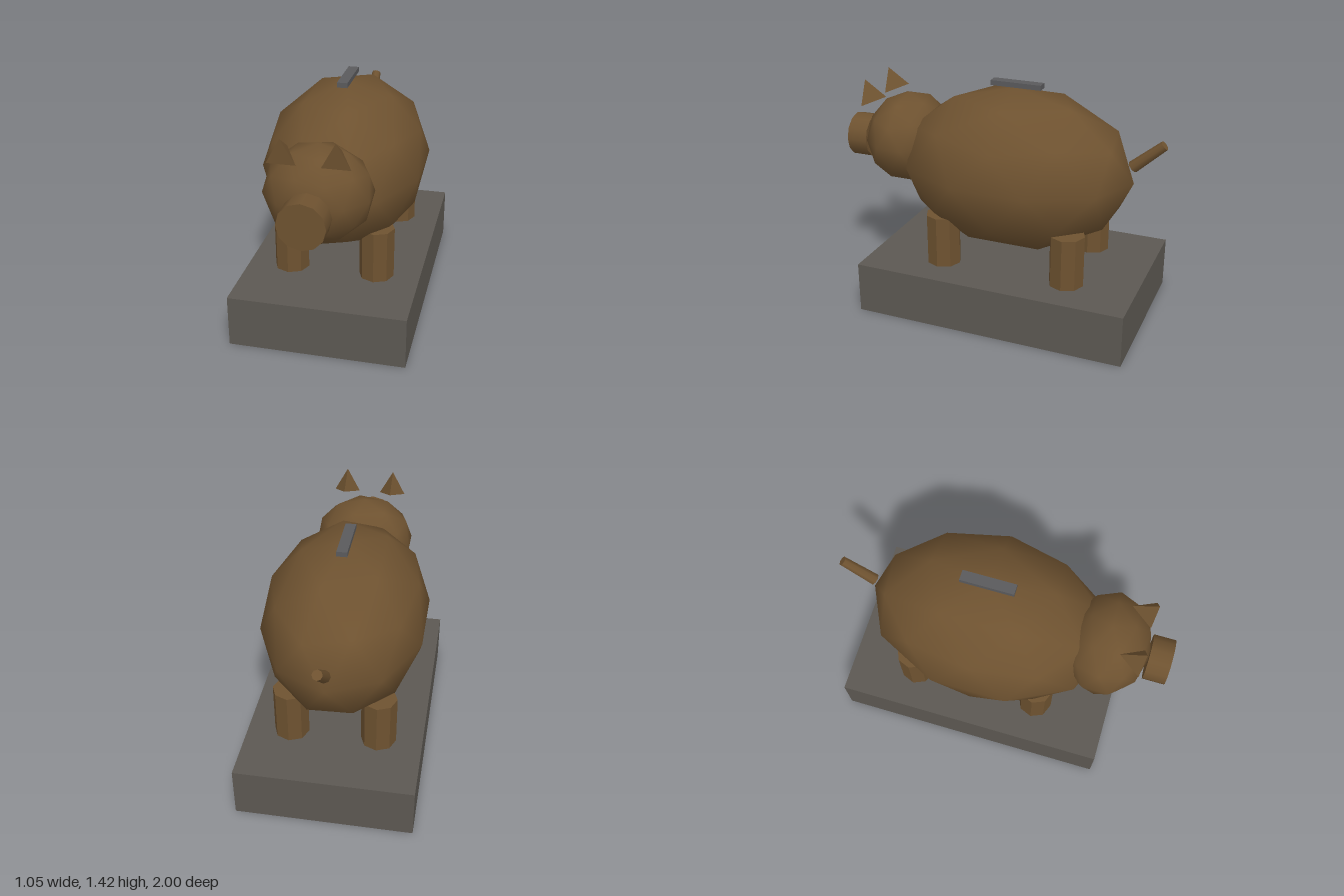
import * as THREE from 'three';
import { ConvexGeometry } from 'three/addons/geometries/ConvexGeometry.js';

export function createModel() {
  const model = new THREE.Group();
  const flat = (name, color, flatShading = false) => {
    const m = new THREE.MeshStandardMaterial({ color, flatShading });
    m.name = name;
    return m;
  };
  const brown = flat('brown', 0x6e5230);
  const stone = flat('warm grey', 0x5c5852);
  const grey = flat('metal grey', 0x5a5a5c);

  const add = (name, geometry, material, x = 0, y = 0, z = 0) => {
    const mesh = new THREE.Mesh(geometry, material);
    mesh.name = name;
    mesh.position.set(x, y, z);
    model.add(mesh);
    return mesh;
  };

  // Smooth 80-sided ball with corners at its top and bottom
  const ball = (rx, ry, rz) => {
    const g = new THREE.IcosahedronGeometry(1, 1);
    g.rotateZ(-Math.atan(2 / (1 + Math.sqrt(5))));
    g.scale(rx, ry, rz);
    return g;
  };

  // Plinth
  add('plinth', new THREE.BoxGeometry(1.046, 0.315, 1.67), stone, 0, 0.1575, -0.09);

  // Body, with the five lowest faces in grey
  const bodyGeo = ball(0.498, 0.495, 0.73);
  const p = bodyGeo.attributes.position;
  for (let i = 0; i < p.count; i += 3) {
    const low = Math.min(p.getY(i), p.getY(i + 1), p.getY(i + 2));
    bodyGeo.addGroup(i, 3, low < -0.49 ? 1 : 0);
  }
  add('body', bodyGeo, [brown, grey], 0, 0.895, -0.085);

  // Head and snout
  add('head', ball(0.312, 0.282, 0.255), brown, 0, 0.997, 0.625);
  const snout = new THREE.CylinderGeometry(0.135, 0.135, 0.13, 12);
  snout.rotateX(Math.PI / 2);
  add('snout', snout, brown, 0, 0.966, 0.935);

  for (const [side, s] of [['left', 1], ['right', -1]]) {
    // Three-sided ears
    const ear = new ConvexGeometry([
      new THREE.Vector3(0, 0.145, 0.01),
      new THREE.Vector3(-0.08, 0, 0),
      new THREE.Vector3(0.08, 0, 0),
      new THREE.Vector3(0, 0.052, -0.13),
    ]);
    add(side + 'Ear', ear, brown, s * 0.147, 1.23, 0.83);

    // Faceted legs
    for (const [end, z] of [['Front', 0.283], ['Hind', -0.507]]) {
      const leg = new THREE.CylinderGeometry(0.105, 0.105, 0.32, 8).toNonIndexed();
      leg.computeVertexNormals();
      add(side + end + 'Leg', leg, brown, s * 0.261, 0.472, z);
    }
  }

  // Tail, tilted up and back
  const tail = add('tail', new THREE.CylinderGeometry(0.029, 0.036, 0.235, 8), brown, 0, 1.075, -0.89);
  tail.rotation.x = -0.85;

  // Coin slot
  add('coinSlot', new THREE.BoxGeometry(0.062, 0.03, 0.312), grey, 0, 1.41, -0.09);

  return model;
}
